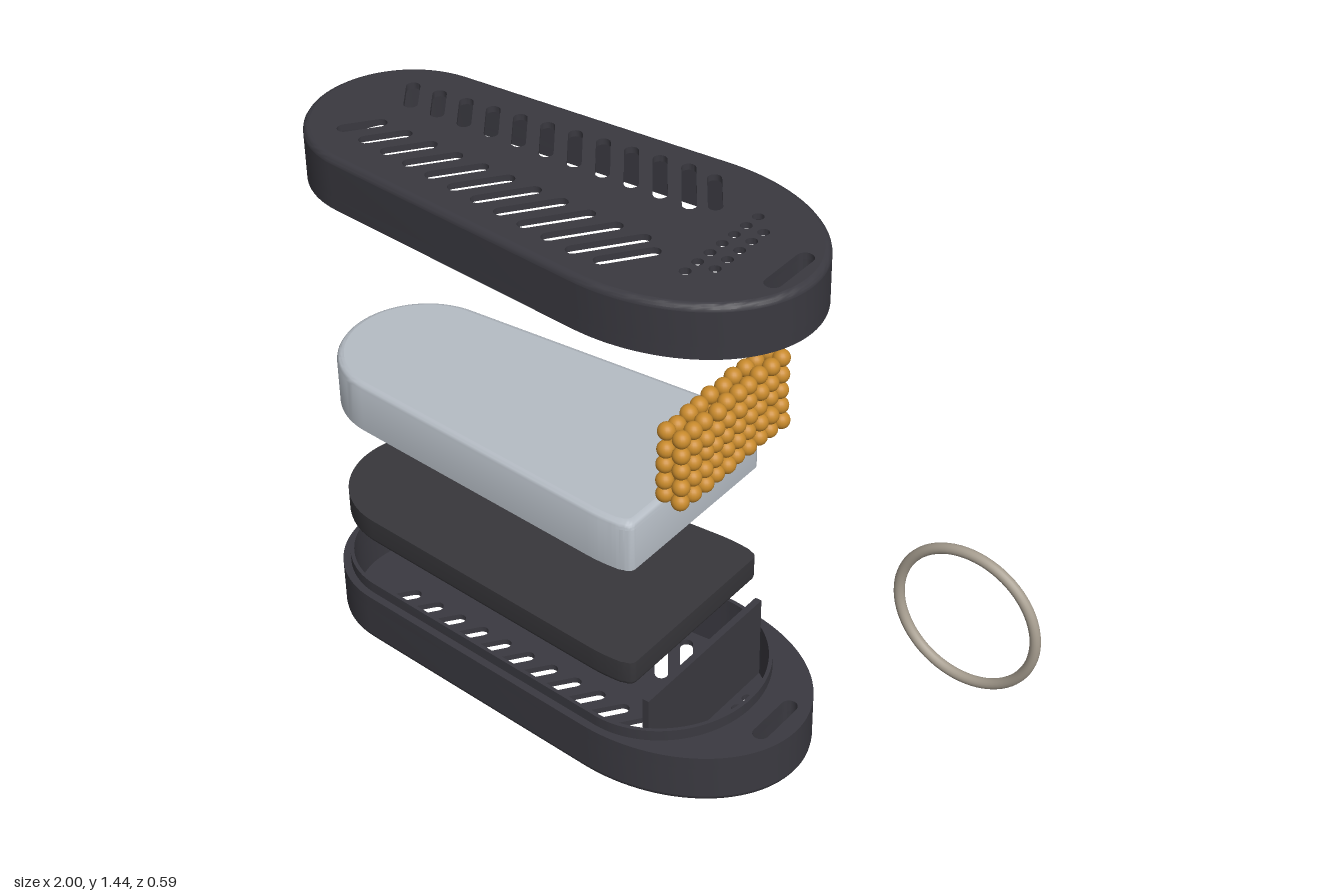
import * as THREE from 'three';
import { toCreasedNormals } from 'three/addons/utils/BufferGeometryUtils.js';

const material = (name, color) => {
  const m = new THREE.MeshStandardMaterial({ color });
  m.name = name;
  return m;
};

const V = (x, y) => new THREE.Vector2(x, y);
const BASE = 0.135 + 0.005; // height of the shell wall

// Tapered oval outline (counter-clockwise), inset by d. a is the length of the
// right-hand ellipse; flat cuts the right end off square with small corners.
function outline(d, a = 0.39 - d, flat = null) {
  const b = 0.295 - d, r = 0.24 - d, upper = [];
  let t0 = 0;
  if (flat !== null) {
    const c = 0.02, h = b * Math.sqrt(1 - ((flat + 0.01) / a) ** 2);
    for (let i = 0; i <= 6; i++) {
      const t = (i / 6) * Math.PI / 2;
      upper.push(V(flat - c + c * Math.cos(t), h - c + c * Math.sin(t)));
    }
    t0 = Math.acos((flat - c + 0.005) / a);
  }
  const t1 = 96 * Math.PI / 180;
  for (let i = flat === null ? 0 : 1; i <= 28; i++) {
    const t = t0 + (t1 - t0) * i / 28;
    upper.push(V(-0.01 + a * Math.cos(t), b * Math.sin(t)));
  }
  for (let i = 0; i <= 20; i++) {
    const t = (94.5 + 85.5 * i / 20) * Math.PI / 180;
    upper.push(V(-0.76 + r * Math.cos(t), r * Math.sin(t)));
  }
  const lower = upper.slice(flat === null ? 1 : 0, -1).reverse().map(p => V(p.x, -p.y));
  return [...upper, ...lower];
}

// Rounded slot between two points
function slot(x1, y1, x2, y2, r) {
  const ang = Math.atan2(y2 - y1, x2 - x1), pts = [];
  for (let i = 0; i <= 8; i++) {
    const t = ang - Math.PI / 2 + Math.PI * i / 8;
    pts.push(V(x2 + r * Math.cos(t), y2 + r * Math.sin(t)));
  }
  for (let i = 0; i <= 8; i++) {
    const t = ang + Math.PI / 2 + Math.PI * i / 8;
    pts.push(V(x1 + r * Math.cos(t), y1 + r * Math.sin(t)));
  }
  return pts;
}

// Horizontal plate from y0 to y1 with holes
function plate(points, holes, y0, y1) {
  const s = new THREE.Shape(points);
  s.holes = holes.map(h => new THREE.Path(h));
  const g = new THREE.ExtrudeGeometry(s, { depth: y1 - y0, bevelEnabled: false });
  g.rotateX(-Math.PI / 2).translate(0, y0, 0);
  return toCreasedNormals(g, 0.6);
}

// Skin through matching outlines, each given as [points, y], from low to high
function loft(rings) {
  const n = rings[0][0].length, pos = [], idx = [];
  for (const [pts, y] of rings) for (const p of pts) pos.push(p.x, y, -p.y);
  for (let j = 0; j < rings.length - 1; j++) {
    for (let i = 0; i < n; i++) {
      const k = (i + 1) % n, a = j * n + i, b = j * n + k;
      idx.push(a, b, b + n, a, b + n, a + n);
    }
  }
  const g = new THREE.BufferGeometry();
  g.setAttribute('position', new THREE.Float32BufferAttribute(pos, 3));
  g.setIndex(idx);
  return toCreasedNormals(g, 0.6);
}

// [inset, height] steps of a quarter-round edge at the bottom
const roundEdge = r => [0, 1, 2, 3, 4].map(i => {
  const t = i / 4 * Math.PI / 2;
  return [r * (1 - Math.sin(t)), r * (1 - Math.cos(t))];
});

export function createModel() {
  const shellMat = material('charcoal shell', 0x3a3940);
  const padMat = material('dark pad', 0x38373b);
  const blockMat = material('pale grey', 0xb5bcc4);
  const beadMat = material('amber', 0xc88a2c);
  const ringMat = material('warm metal', 0xa79e90);

  const model = new THREE.Group();
  const add = (parent, name, geo, mat) => {
    const m = new THREE.Mesh(geo, mat);
    m.name = name;
    parent.add(m);
    return m;
  };

  // Openings: chevron vents, bead vents and the ring slot
  const keySlot = slot(0.316, -0.06, 0.316, 0.06, 0.021);
  const openings = [keySlot];
  for (let i = 0; i < 12; i++) {
    const last = i === 11, r = 0.017;
    const zo = (last ? 0.222 : 0.135 + 0.009 * i) - r * 0.8;
    const zi = (last ? 0.1 : 0.04 + 0.003 * i) + r * 0.8;
    const xo = -0.845 + 0.074 * i, xi = xo + 0.75 * (zo - zi);
    openings.push(slot(xo, zo, xi, zi, r), slot(xo, -zo, xi, -zi, r));
  }
  for (const [x, n] of [[0.14, 3], [0.186, 2]]) {
    for (let k = -n; k <= n; k++) openings.push(slot(x, k * 0.045, x + 0.0001, k * 0.045, 0.014));
  }

  // Half shell, floor down: rounded edge, floor and walls
  function halfShell(name) {
    const g = new THREE.Group();
    g.name = name;
    const e = 0.016;
    add(g, 'roundedEdge', loft(roundEdge(e).map(([d, y]) => [outline(d), y])), shellMat);
    add(g, 'ventedFloor', plate(outline(e), openings, 0, e), shellMat);
    add(g, 'wall', plate(outline(0), [outline(0.03, 0.245), keySlot], e, 0.105), shellMat);
    model.add(g);
    return g;
  }

  // Base with raised lip and partition
  const base = halfShell('base');
  add(base, 'rim', plate(outline(0), [outline(0.03, 0.245), keySlot], 0.105, BASE), shellMat);
  add(base, 'lip', plate(outline(0.02, 0.255), [outline(0.03, 0.245)], BASE, 0.17), shellMat);
  add(base, 'partition', new THREE.BoxGeometry(0.018, 0.239, 0.466), shellMat)
    .position.set(0.1, 0.1355, 0);

  // Cover, turned over, with a recess for the lip
  const cover = halfShell('cover');
  add(cover, 'rim', plate(outline(0), [outline(0.02, 0.255), keySlot], 0.105, 0.137), shellMat);
  cover.rotation.x = Math.PI;
  cover.position.y = 1.436;

  // Filler pieces with one rounded edge and a square end
  function filler(name, height, r, mat) {
    const at = d => outline(0.03 + d, 0.36 - d, 0.078 - d);
    const g = new THREE.Group();
    g.name = name;
    const rings = roundEdge(r).map(([d, y]) => [at(d), y]);
    add(g, 'sides', loft([...rings, [at(0), height]]), mat);
    const cap = pts => new THREE.ShapeGeometry(new THREE.Shape(pts));
    add(g, 'roundedFace', cap(at(r)).rotateX(Math.PI / 2), mat);
    add(g, 'flatFace', cap(at(0)).rotateX(-Math.PI / 2).translate(0, height, 0), mat);
    model.add(g);
    return g;
  }
  filler('pad', 0.073, 0.015, padMat).position.y = 0.298;
  const block = filler('block', 0.135, 0.018, blockMat);
  block.rotation.x = Math.PI;
  block.position.y = 0.787;

  // Bead pack, slightly uneven
  let seed = 7;
  const jitter = () => {
    seed = (seed * 16807) % 2147483647;
    return (seed / 2147483647 - 0.5) * 0.006;
  };
  const beads = new THREE.Group();
  beads.name = 'beads';
  const beadGeo = new THREE.SphereGeometry(0.0215, 20, 14);
  for (let i = 0; i < 2; i++) for (let j = 0; j < 5; j++) for (let k = 0; k < 10; k++) {
    add(beads, 'bead', beadGeo, beadMat).position.set(
      0.137 + 0.044 * i + jitter(), 0.873 + 0.0435 * j + jitter(), 0.202 - 0.0428 * k + jitter());
  }
  model.add(beads);

  // Hanging ring
  add(model, 'ring', new THREE.TorusGeometry(0.175, 0.0125, 16, 72), ringMat)
    .position.set(0.8125, 0.72, 0);

  return model;
}
